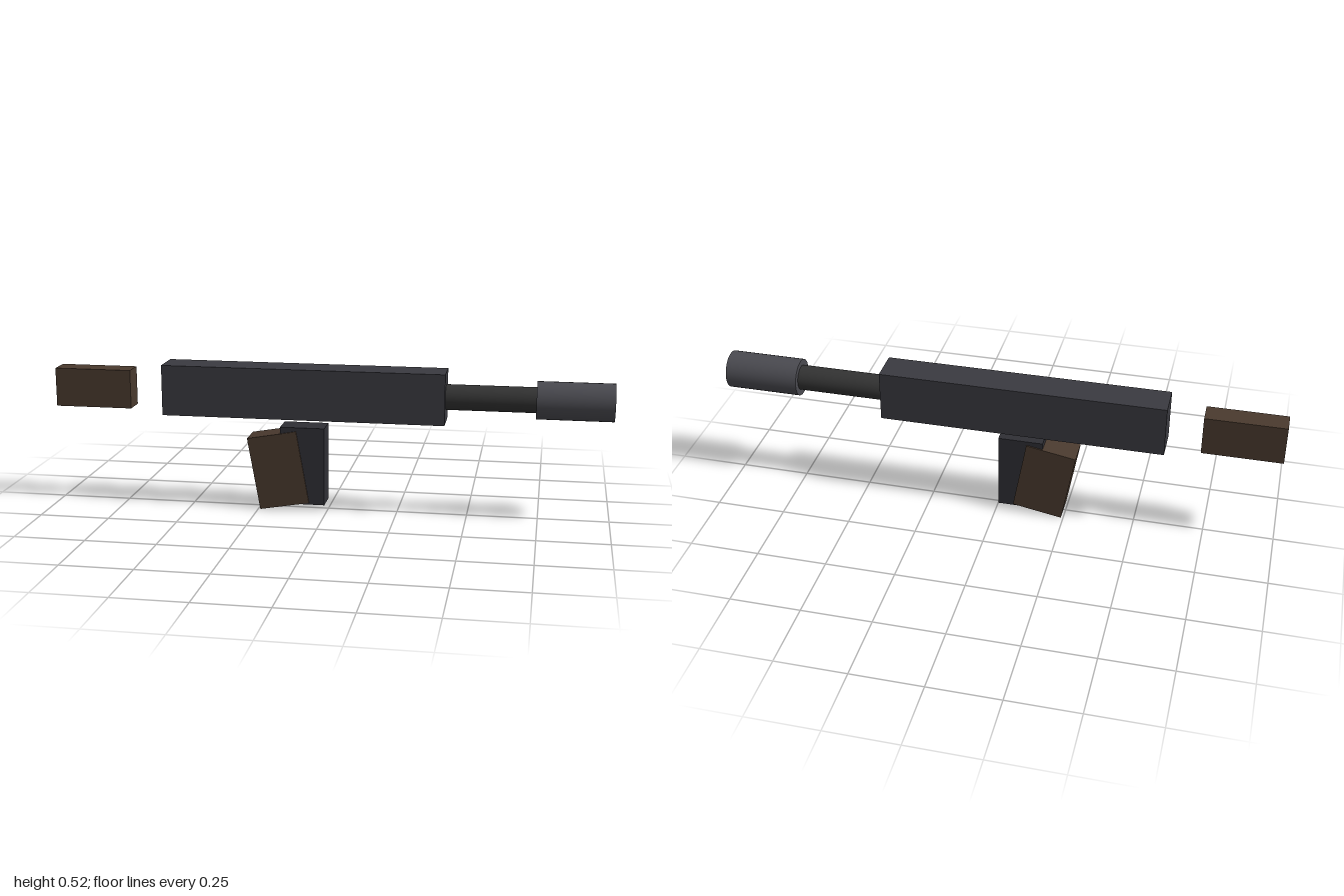
import * as THREE from 'three';

export function createModel() {
  const model = new THREE.Group();
  const paint = (color) => new THREE.MeshStandardMaterial({ color });
  const gunmetal = paint(0x3a3a40);
  const darkSteel = paint(0x333333);
  const steel = paint(0x4a4a50);
  const magazineMetal = paint(0x2f2f35);
  const wood = paint(0x4a3a2e);

  const add = (name, geometry, material, x, y) => {
    const mesh = new THREE.Mesh(geometry, material);
    mesh.name = name;
    mesh.position.set(x, y, 0);
    model.add(mesh);
    return mesh;
  };
  // Box from its x and y limits, centred on z
  const box = (name, x0, x1, y0, y1, depth, material) =>
    add(name, new THREE.BoxGeometry(x1 - x0, y1 - y0, depth), material, (x0 + x1) / 2, (y0 + y1) / 2);
  // Round bar lying along x
  const bar = (name, x0, x1, y, radius, material) =>
    add(name, new THREE.CylinderGeometry(radius, radius, x1 - x0, 32).rotateZ(-Math.PI / 2), material, (x0 + x1) / 2, y);

  // Main body and the separate rear stock
  box('receiver', -0.596, 0.419, 0.338, 0.52, 0.121, gunmetal);
  box('stock', -1, -0.719, 0.353, 0.493, 0.08, wood);

  // Barrel with a thicker muzzle sleeve
  bar('barrel', 0.4, 0.75, 0.429, 0.045, darkSteel);
  bar('muzzle', 0.733, 1, 0.429, 0.0665, steel);

  // Upright magazine and the tilted grip overlapping it
  box('magazine', -0.168, -0.008, 0.024, 0.307, 0.091, magazineMetal);
  const grip = add('grip', new THREE.BoxGeometry(0.181, 0.266, 0.101), wood, -0.176, 0.1465);
  grip.rotation.z = THREE.MathUtils.degToRad(10);

  return model;
}
